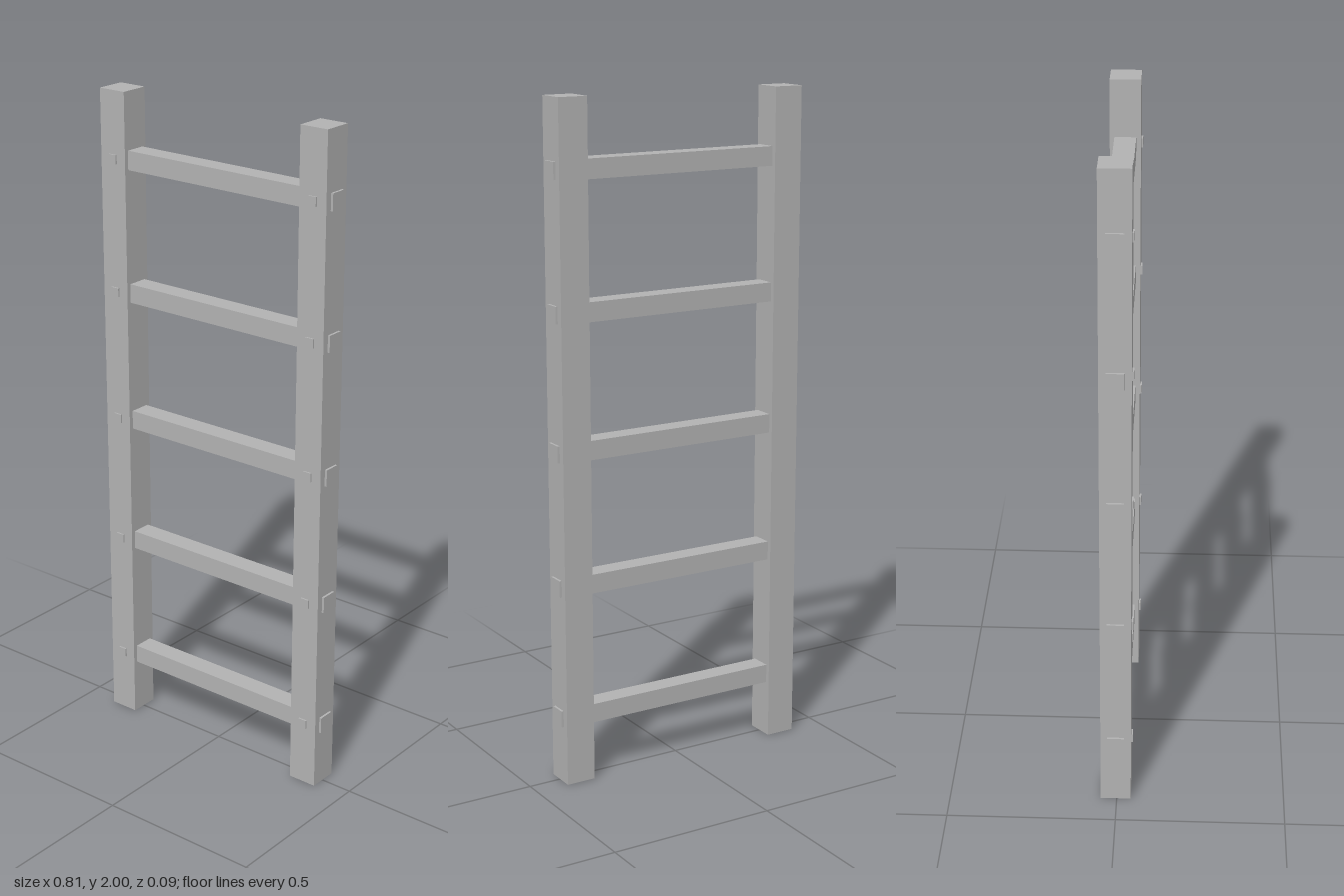
import * as THREE from 'three';

export function createModel() {
  const ladder = new THREE.Group();
  ladder.name = 'ladder';
  const grey = new THREE.MeshStandardMaterial({ color: 0xb2b2b2 });
  grey.name = 'plain grey';

  const midZ = -0.003; // rails sit slightly back because the pegs stick out in front

  function box(name, size, position) {
    const mesh = new THREE.Mesh(new THREE.BoxGeometry(...size), grey);
    mesh.name = name;
    mesh.position.set(...position);
    ladder.add(mesh);
  }

  const sides = [[1, 'left'], [-1, 'right']];

  // upright rails
  for (const [s, side] of sides) box(side + 'Rail', [0.09, 2, 0.09], [s * 0.355, 1, midZ]);

  for (let i = 0; i < 5; i++) {
    const y = 0.2 + i * 0.4;
    // rung between the inner rail faces
    box('rung' + (i + 1), [0.62, 0.057, 0.063], [0, y, midZ]);
    for (const [s, side] of sides) {
      // tenon end showing through the outer rail face
      box(side + 'Tenon' + (i + 1), [0.017, 0.05, 0.05], [s * 0.3985, y, midZ]);
      // small peg on the front of the rail
      box(side + 'Peg' + (i + 1), [0.027, 0.027, 0.015], [s * 0.355, y, 0.0395]);
    }
  }
  return ladder;
}
